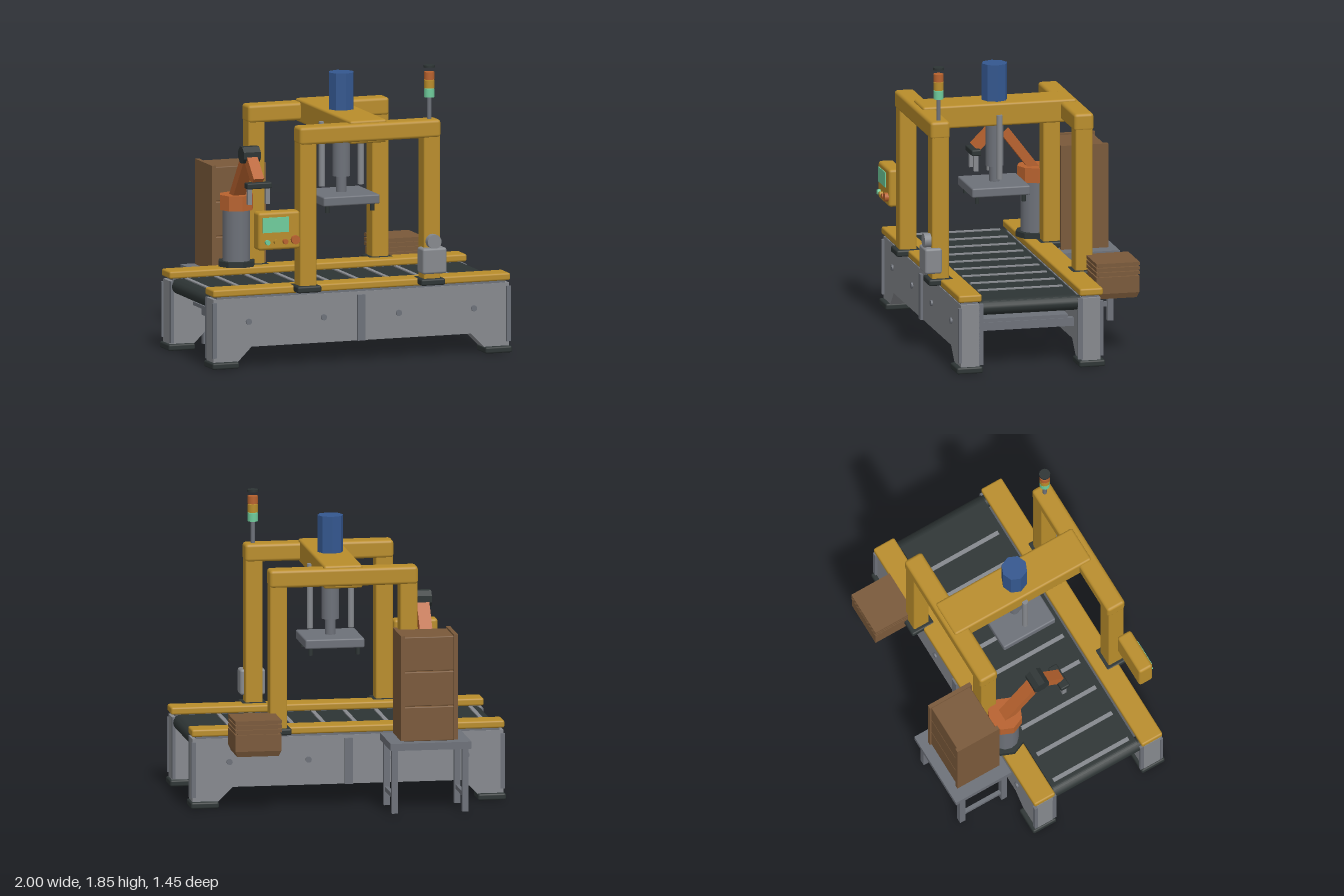
import * as THREE from 'three';
import { RoundedBoxGeometry } from 'three/addons/geometries/RoundedBoxGeometry.js';

const mat = (name, color) => {
  const m = new THREE.MeshStandardMaterial({ color });
  m.name = name;
  return m;
};

export function createModel() {
  const yellow = mat('safety yellow', 0xb98d2b), dark = mat('dark rubber', 0x2d3434),
    steel = mat('steel', 0x6d7179), grey = mat('light grey', 0x86898e),
    blue = mat('motor blue', 0x34578f), orange = mat('robot orange', 0xb8622e),
    brown = mat('cardboard brown', 0x7a593a), green = mat('signal green', 0x6fcc9c);
  const model = new THREE.Group();
  const MID = 0.145; // conveyor centre line in z

  const put = (name, geo, m, x = 0, y = 0, z = 0) => {
    const mesh = new THREE.Mesh(geo, m);
    mesh.name = name;
    mesh.position.set(x, y, z);
    model.add(mesh);
    return mesh;
  };
  // box from its minimum and maximum corners, with an optional edge radius
  const box = (name, m, [x0, x1], [y0, y1], [z0, z1], r = 0) => {
    const s = [x1 - x0, y1 - y0, z1 - z0];
    const geo = r ? new RoundedBoxGeometry(...s, 2, r) : new THREE.BoxGeometry(...s);
    return put(name, geo, m, (x0 + x1) / 2, (y0 + y1) / 2, (z0 + z1) / 2);
  };
  // upright cylinder between two heights
  const cyl = (name, m, x, z, r, y0, y1, n = 16) => {
    let geo = new THREE.CylinderGeometry(r, r, y1 - y0, n);
    if (n <= 8) { geo = geo.toNonIndexed(); geo.computeVertexNormals(); }
    return put(name, geo, m, x, (y0 + y1) / 2, z);
  };
  // cylinder facing z
  const disc = (name, m, x, y, z0, z1, r, n = 16) => {
    const d = put(name, new THREE.CylinderGeometry(r, r, z1 - z0, n), m, x, y, (z0 + z1) / 2);
    d.rotation.x = Math.PI / 2;
    return d;
  };

  // conveyor frame: two mirrored side panels with leg cut-outs
  const half = [[0.73, 0.13], [0.825, 0.035], [0.985, 0.035], [0.985, 0.44]];
  const panelShape = new THREE.Shape(
    [...half, ...half.map(([x, y]) => [-x, y]).reverse()].map(p => new THREE.Vector2(...p)));
  for (const s of [1, -1]) {
    const span = (a, b) => [Math.min(MID + s * a, MID + s * b), Math.max(MID + s * a, MID + s * b)];
    const panel = new THREE.ExtrudeGeometry(panelShape, { depth: 0.12, bevelEnabled: false });
    put('sidePanel', panel, grey, 0, 0, span(0.33, 0.45)[0]);
    box('sideRail', yellow, [-0.99, 0.99], [0.455, 0.502], span(0.315, 0.465), 0.012);
    box('railSupport', steel, [-0.96, 0.96], [0.43, 0.458], span(0.335, 0.445));
    box('panelSeam', steel, [-0.028, 0.022], [0.13, 0.42], span(0.44, 0.468));
    for (const e of [1, -1]) {
      const ex = (a, b) => [Math.min(e * a, e * b), Math.max(e * a, e * b)];
      box('foot', dark, ex(0.82, 0.998), [0, 0.042], span(0.31, 0.478), 0.012);
      box('endStrap', steel, ex(0.965, 0.993), [0.07, 0.42], span(0.445, 0.465));
      box('innerStrap', steel, ex(0.965, 0.985), [0.05, 0.44], span(0.305, 0.335));
    }
    for (const x of [-0.75, -0.25, 0.25, 0.75])
      disc('panelBolt', steel, x, 0.29, ...span(0.44, 0.462), 0.019);
  }
  for (const x of [-0.75, -0.25, 0.25, 0.75])
    box('crossMember', steel, [x - 0.025, x + 0.025], [0.218, 0.27], [-0.19, 0.48]);
  box('underTray', steel, [-0.85, 0.85], [0.29, 0.312], [-0.13, 0.415]);

  // belt loop with rounded ends, raised slats and end rollers
  const loop = new THREE.Shape();
  loop.absarc(0.925, 0, 0.05, -Math.PI / 2, Math.PI / 2);
  loop.absarc(-0.925, 0, 0.05, Math.PI / 2, Math.PI * 1.5);
  put('belt', new THREE.ExtrudeGeometry(loop, { depth: 0.61, bevelEnabled: false, curveSegments: 10 }),
    dark, 0, 0.408, MID - 0.305);
  for (const x of [-0.935, 0.935]) disc('endRoller', dark, x, 0.408, -0.18, 0.47, 0.045);
  for (let i = 0; i < 9; i++) {
    const x = -0.895 + i * 0.199;
    box('beltSlat', grey, [x - 0.013, x + 0.013], [0.45, 0.465], [-0.13, 0.415]);
  }

  // gantry: two portals joined by a cross beam
  for (const z of [0.605, -0.32]) {
    for (const x of [-0.375, 0.45]) {
      box('gantryPost', yellow, [x - 0.055, x + 0.055], [0.495, 1.42], [z - 0.055, z + 0.055], 0.01);
      box('postFoot', dark, [x - 0.08, x + 0.08], [0.463, 0.505], [z - 0.08, z + 0.08], 0.012);
    }
    box('gantryBeam', yellow, [-0.433, 0.507], [1.395, 1.508], [z - 0.063, z + 0.063], 0.02);
  }
  box('crossBeam', yellow, [-0.085, 0.16], [1.378, 1.524], [-0.36, 0.63], 0.015);

  // press: motor, ram, guide rods and plate
  const px = 0.037, pz = 0.14;
  cyl('pressMotor', blue, px, pz, 0.082, 1.52, 1.757, 8);
  cyl('pressCylinder', steel, px, pz, 0.056, 1.1, 1.39);
  cyl('pressRam', steel, px, pz, 0.033, 0.99, 1.11);
  for (const dx of [-0.13, 0.13]) cyl('guideRod', grey, px + dx, pz, 0.019, 1.04, 1.45);
  box('pressPlate', steel, [-0.15, 0.225], [0.94, 1.0], [-0.045, 0.33], 0.01);
  for (const dx of [-0.15, 0.15])
    for (const dz of [-0.15, 0.15]) cyl('platePin', dark, px + dx, pz + dz, 0.014, 0.895, 0.945, 10);

  // signal tower
  cyl('signalPole', steel, 0.45, 0.605, 0.013, 1.5, 1.645);
  cyl('greenLamp', green, 0.45, 0.605, 0.032, 1.645, 1.698);
  cyl('yellowLamp', yellow, 0.45, 0.605, 0.032, 1.702, 1.753);
  cyl('orangeLamp', orange, 0.45, 0.605, 0.032, 1.757, 1.805);
  cyl('signalCap', dark, 0.45, 0.605, 0.035, 1.832, 1.847);

  // sensor box on the front post
  box('sensorBox', grey, [0.37, 0.53], [0.54, 0.703], [0.6, 0.71], 0.015);
  disc('sensorLens', grey, 0.45, 0.742, 0.65, 0.703, 0.046);

  // control panel
  box('controlPanel', yellow, [-0.722, -0.443], [0.75, 0.99], [0.6, 0.698], 0.018);
  box('controlScreen', green, [-0.695, -0.52], [0.862, 0.957], [0.695, 0.704]);
  [[-0.665, 0.802, 0.016, green], [-0.607, 0.802, 0.015, yellow], [-0.547, 0.802, 0.016, orange],
    [-0.48, 0.81, 0.028, orange]].forEach(([x, y, r, m]) => disc('panelButton', m, x, y, 0.69, 0.72, r));

  // robot arm
  const rx = -0.515, rz = -0.255;
  cyl('robotBase', dark, rx, rz, 0.12, 0.503, 0.537, 8);
  cyl('robotColumn', steel, rx, rz, 0.087, 0.535, 0.87, 12);
  cyl('robotShoulder', orange, rx, rz, 0.11, 0.86, 0.955, 8);
  const arm = (name, a, b, w) => {
    const [ay, az] = a, [by, bz] = b;
    const len = Math.hypot(by - ay, bz - az);
    const m = put(name, new THREE.BoxGeometry(w, len, 0.06), orange, rx, (ay + by) / 2, (az + bz) / 2);
    m.rotation.x = Math.atan2(bz - az, by - ay);
  };
  arm('upperArm', [0.92, -0.265], [1.24, -0.02], 0.08);
  arm('forearm', [1.24, -0.02], [1.09, 0.13], 0.07);
  const elbowGeo = new THREE.CylinderGeometry(0.056, 0.056, 0.112, 8).toNonIndexed();
  elbowGeo.computeVertexNormals();
  put('elbow', elbowGeo, dark, rx, 1.24, -0.02).rotation.set(0, Math.PI / 8, Math.PI / 2, 'ZYX');
  box('gripper', dark, [-0.598, -0.432], [1.05, 1.088], [0.105, 0.167], 0.008);
  for (const x of [-0.575, -0.455])
    box('gripperFinger', grey, [x - 0.012, x + 0.012], [0.95, 1.055], [0.12, 0.15]);

  // side table
  box('tableTop', steel, [-0.712, -0.2], [0.405, 0.45], [-0.727, -0.325]);
  for (const x of [-0.68, -0.233]) {
    for (const z of [-0.67, -0.37])
      box('tableLeg', steel, [x - 0.019, x + 0.019], [0, 0.41], [z - 0.019, z + 0.019]);
    box('tableBrace', steel, [x - 0.012, x + 0.012], [0.09, 0.118], [-0.66, -0.38]);
  }

  // stacked crates with raised side boards
  for (let i = 0; i < 3; i++) {
    const y = 0.45 + i * 0.222;
    box('crate', brown, [-0.615, -0.295], [y, y + 0.217], [-0.66, -0.38], 0.006);
    for (const x of [-0.623, -0.287])
      box('crateSide', brown, [x - 0.013, x + 0.013], [y + 0.006, y + 0.228], [-0.672, -0.368]);
  }

  // carton with tapered bottom and loose sheets on top
  const carton = new THREE.BoxGeometry(0.29, 0.14, 0.275, 1, 4, 1).toNonIndexed();
  const p = carton.attributes.position;
  for (let i = 0; i < p.count; i++)
    if (p.getY(i) < -0.06) p.setXYZ(i, p.getX(i) * 0.9, p.getY(i), p.getZ(i) * 0.9);
  carton.computeVertexNormals();
  put('carton', carton, brown, 0.618, 0.442, -0.472);
  box('sheetCore', brown, [0.49, 0.745], [0.51, 0.59], [-0.595, -0.35]);
  for (let i = 0; i < 3; i++)
    box('cartonSheet', brown, [0.47, 0.765], [0.522 + i * 0.029, 0.543 + i * 0.029], [-0.612, -0.334]);

  return model;
}
